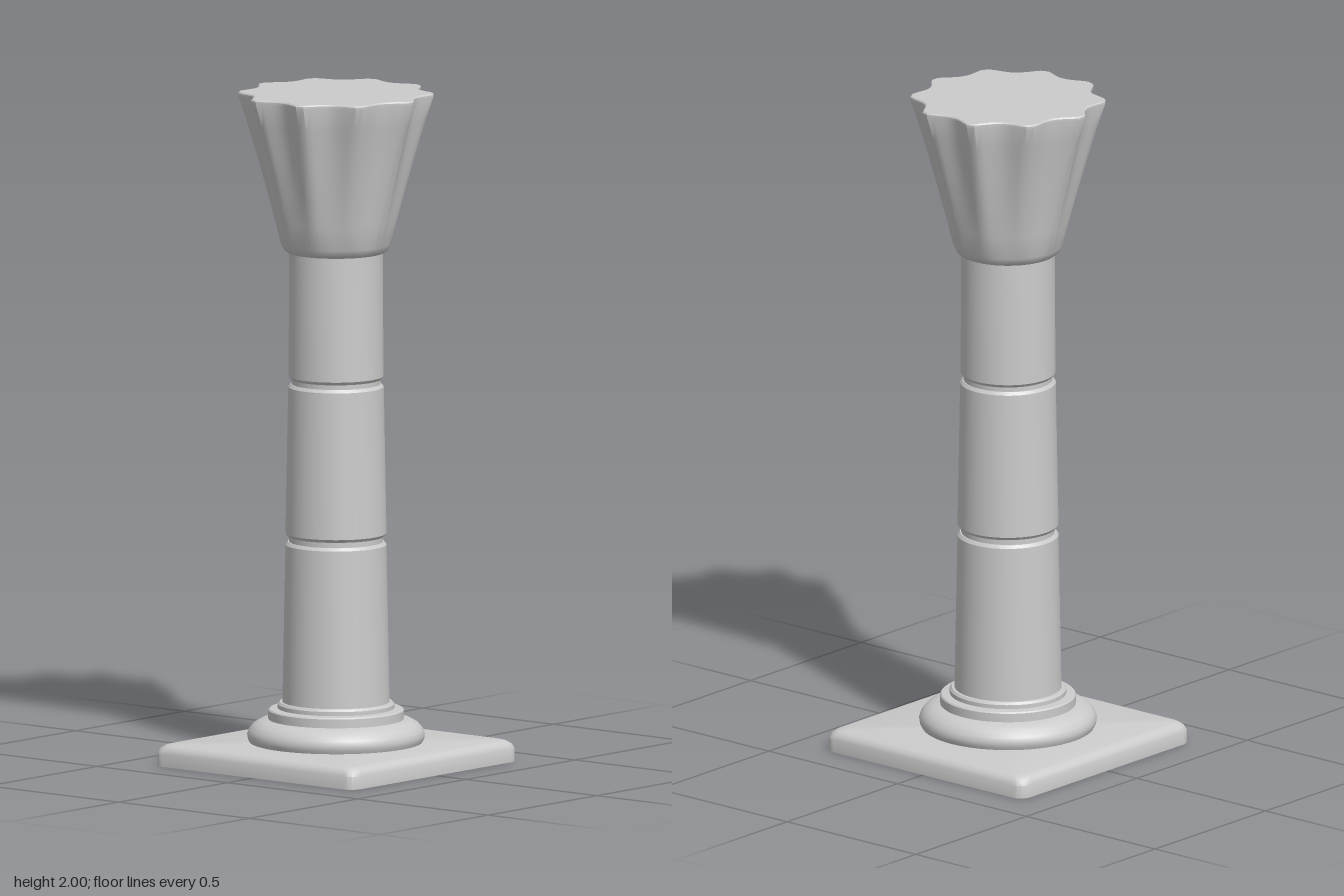
import * as THREE from 'three';
import { toCreasedNormals } from 'three/addons/utils/BufferGeometryUtils.js';

const material = new THREE.MeshStandardMaterial({ color: 0xcccccc });

function add(group, name, geometry, crease = 0.6) {
  const mesh = new THREE.Mesh(toCreasedNormals(geometry, crease), material);
  mesh.name = name;
  group.add(mesh);
}

// Turned part from [radius, height] pairs, bottom to top
function turned(profile) {
  return new THREE.LatheGeometry(profile.map(([r, y]) => new THREE.Vector2(r, y)), 64);
}

// Closed solid skinned over stacked outlines: [{ y, outline: [[x, z], ...] }], bottom to top
function loft(rings) {
  const n = rings[0].outline.length;
  const positions = [];
  const index = [];
  for (const { y, outline } of rings) {
    for (const [x, z] of outline) positions.push(x, y, z);
  }
  const bottom = rings.length * n;
  const top = bottom + 1;
  positions.push(0, rings[0].y, 0, 0, rings[rings.length - 1].y, 0);
  for (let i = 0; i < n; i++) {
    const j = (i + 1) % n;
    for (let k = 0; k < rings.length - 1; k++) {
      const a = k * n + i, b = k * n + j;
      index.push(a, a + n, b, b, a + n, b + n);
    }
    const last = (rings.length - 1) * n;
    index.push(bottom, i, j, top, last + j, last + i);
  }
  const geometry = new THREE.BufferGeometry();
  geometry.setAttribute('position', new THREE.Float32BufferAttribute(positions, 3));
  geometry.setIndex(index);
  return geometry;
}

// Square outline with rounded corners
function roundedSquare(half, radius) {
  const points = [];
  for (let corner = 0; corner < 4; corner++) {
    const middle = Math.PI / 4 + corner * Math.PI / 2;
    const cx = Math.sign(Math.cos(middle)) * (half - radius);
    const cz = Math.sign(Math.sin(middle)) * (half - radius);
    for (let s = 0; s <= 4; s++) {
      const a = (corner + s / 4) * Math.PI / 2;
      points.push([cx + radius * Math.cos(a), cz + radius * Math.sin(a)]);
    }
  }
  return points;
}

// Ten-lobed outline with blunt tips, one of them facing +z
function lobed(tip, valley) {
  const points = [];
  const steps = [[-2.4, 1], [2.4, 1], [6, 0.68], [10, 0.3], [14.5, 0.05], [18, 0], [21.5, 0.05], [26, 0.3], [30, 0.68]];
  for (let lobe = 0; lobe < 10; lobe++) {
    for (const [degrees, t] of steps) {
      const a = THREE.MathUtils.degToRad(90 + lobe * 36 + degrees);
      const r = valley + (tip - valley) * t;
      points.push([r * Math.cos(a), r * Math.sin(a)]);
    }
  }
  return points;
}

export function createModel() {
  const column = new THREE.Group();
  column.name = 'column';

  // Square plinth with a rounded upper edge
  add(column, 'plinth', loft([[0, 0.385], [0.038, 0.385], [0.052, 0.379], [0.061, 0.368], [0.065, 0.353]]
    .map(([y, half]) => ({ y, outline: roundedSquare(half, 0.038) }))));

  // Round base: bulging torus, then two smaller steps
  add(column, 'base', turned([
    [0, 0.06], [0.252, 0.06], [0.26, 0.075], [0.262, 0.088], [0.257, 0.103], [0.244, 0.118],
    [0.225, 0.129], [0.2, 0.134], [0.2, 0.16], [0.196, 0.164], [0.172, 0.166],
    [0.172, 0.178], [0.166, 0.185], [0, 0.185],
  ]));

  // Three drums, each with softened ends
  const drums = [
    ['lowerDrum', 0.17, 0.662, 0.158, 0.149],
    ['middleDrum', 0.678, 1.132, 0.149, 0.141],
    ['upperDrum', 1.146, 1.54, 0.14, 0.138],
  ];
  for (const [name, y0, y1, r0, r1] of drums) {
    add(column, name, turned([
      [0, y0], [r0 - 0.007, y0], [r0, y0 + 0.009],
      [r1, y1 - 0.009], [r1 - 0.007, y1], [0, y1],
    ]));
  }

  // Recessed joints between drums
  for (const [name, y, r] of [['lowerJoint', 0.67, 0.138], ['upperJoint', 1.139, 0.131]]) {
    add(column, name, new THREE.CylinderGeometry(r, r, 0.04, 64).translate(0, y, 0));
  }

  // Flared capital, round at the foot and lobed towards the top
  add(column, 'capital', loft([
    [1.525, 0.144, 0.144], [1.532, 0.153, 0.153], [1.55, 0.163, 0.161], [1.62, 0.18, 0.174],
    [1.72, 0.207, 0.194], [1.82, 0.235, 0.215], [1.92, 0.265, 0.237],
    [1.988, 0.288, 0.253], [1.996, 0.288, 0.253], [2, 0.284, 0.249],
  ].map(([y, tip, valley]) => ({ y, outline: lobed(tip, valley) }))));

  return column;
}
